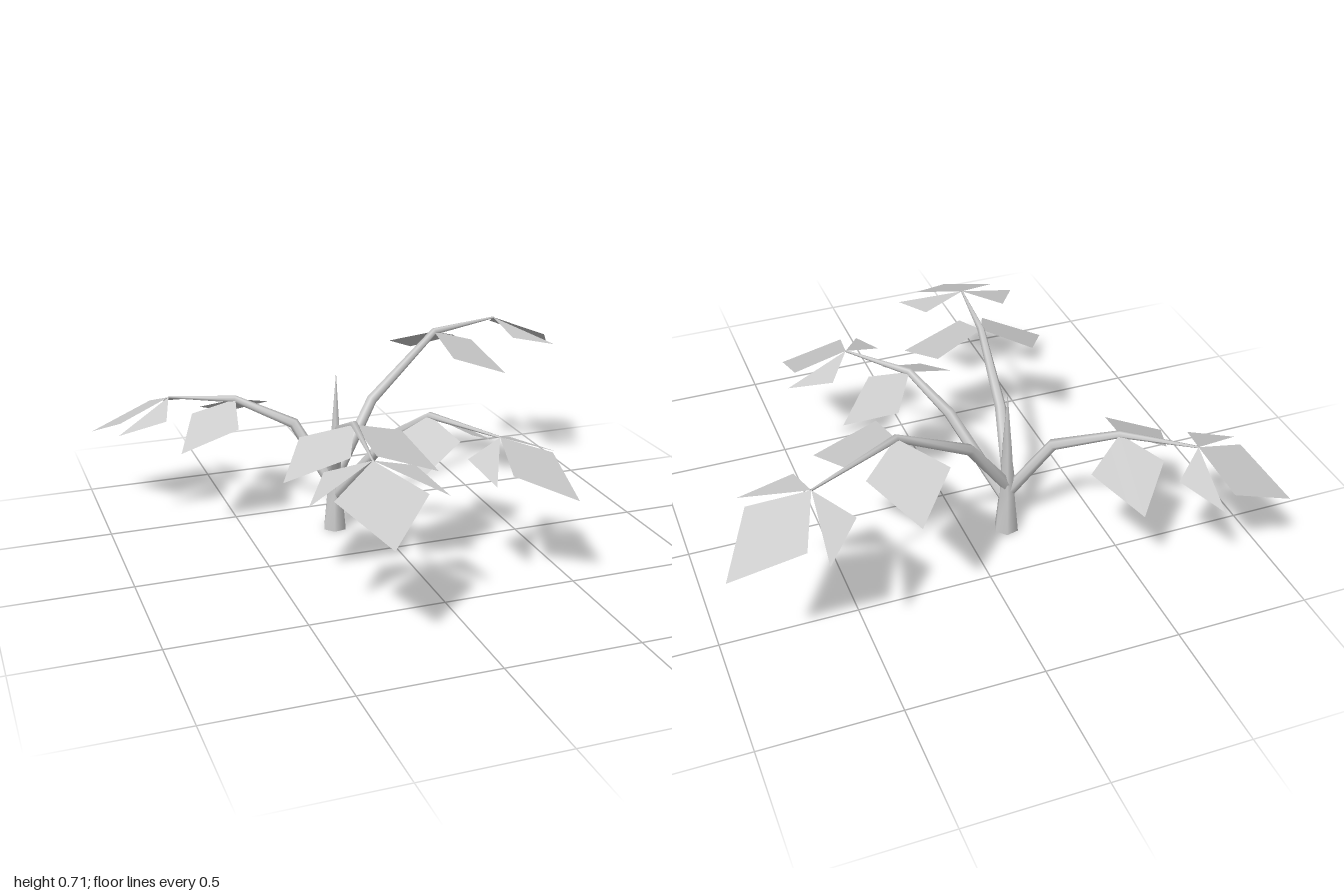
import * as THREE from 'three';

const SIDES = 6;
const material = new THREE.MeshStandardMaterial({ color: 0xcccccc, side: THREE.DoubleSide });

function mesh(positions, index, name) {
  const g = new THREE.BufferGeometry();
  g.setAttribute('position', new THREE.Float32BufferAttribute(positions, 3));
  g.setIndex(index);
  g.computeVertexNormals();
  const m = new THREE.Mesh(g, material);
  m.name = name;
  return m;
}

// Tapered open stem through points [x, y, z, radius], with a ring of sides at each point
function stem(points, name) {
  const pts = points.map(p => new THREE.Vector3(p[0], p[1], p[2]));
  const pos = [], idx = [];
  const last = pts.length - 1;
  // one fixed side axis keeps the rings from twisting
  const flat = pts[last].clone().sub(pts[0]).setY(0).normalize();
  const side = new THREE.Vector3(flat.z, 0, -flat.x);
  pts.forEach((p, i) => {
    const t = pts[Math.min(i + 1, last)].clone().sub(p).normalize();
    if (i > 0) t.add(p.clone().sub(pts[i - 1]).normalize());
    t.normalize();
    const a = side.clone().addScaledVector(t, -side.dot(t)).normalize();
    const b = t.clone().cross(a);
    for (let j = 0; j < SIDES; j++) {
      const w = j / SIDES * Math.PI * 2;
      const q = p.clone().addScaledVector(a, Math.cos(w) * points[i][3]).addScaledVector(b, Math.sin(w) * points[i][3]);
      pos.push(q.x, q.y, q.z);
    }
  });
  for (let i = 0; i < last; i++) {
    for (let j = 0; j < SIDES; j++) {
      const k = (j + 1) % SIDES, p = i * SIDES, q = p + SIDES;
      idx.push(p + j, p + k, q + k, p + j, q + k, q + j);
    }
  }
  return mesh(pos, idx, name);
}

// Flat leaf outlines as [along the branch, sideways, drop], starting from the node
const END_LEAF = [[0, 0, 0], [0.15, -0.155, 0.072], [0.352, 0, 0.17], [0.15, 0.155, 0.072]];
const SIDE_LEAF = [[0, 0, 0], [0.172, 0.045, 0.058], [0.135, 0.27, 0.145], [-0.075, 0.182, 0.06]];
const SMALL_LEAF = [[0, 0, 0], [0.125, 0.232, 0.095], [-0.05, 0.155, 0.048]];

function leaf(outline, node, dir, mirror, size, name) {
  const pos = outline.flatMap(([along, across, drop]) => {
    const u = along * size, v = across * mirror * size;
    return [node[0] + dir.x * u - dir.y * v, node[1] - drop, node[2] + dir.y * u + dir.x * v];
  });
  // corners run the other way round on the mirrored side; keep every top face upward
  const up = mirror < 0 ? [0, 1, 2, 0, 2, 3] : [0, 2, 1, 0, 3, 2];
  return mesh(pos, up.slice(0, (outline.length - 2) * 3), name);
}

// Each branch: start height on the trunk, elbow, leaf node, tip, leaf size
const BRANCHES = [
  { name: 'backLeftBranch', start: 0.2, elbow: [0.03, 0.48, -0.355], node: [0.34, 0.695, -0.478], tip: [0.67, 0.685, -0.632], size: 1 },
  { name: 'backRightBranch', start: 0.17, elbow: [-0.29, 0.42, -0.355], node: [-0.488, 0.502, -0.48], tip: [-0.72, 0.49, -0.63], size: 0.96 },
  { name: 'frontRightBranch', start: 0.24, elbow: [-0.182, 0.455, -0.12], node: [-0.23, 0.59, 0.203], tip: [-0.273, 0.574, 0.52], size: 1.01 },
  { name: 'frontLeftBranch', start: 0.13, elbow: [-0.005, 0.43, -0.055], node: [0.1, 0.547, 0.085], tip: [0.27, 0.525, 0.335], size: 0.92 },
];

export function createModel() {
  const root = new THREE.Group();
  root.name = 'plant';
  const base = [-0.16, -0.262];

  // Trunk running up into a thin spike, open underneath
  root.add(stem([
    [base[0], 0, base[1], 0.048],
    [base[0] + 0.003, 0.17, base[1] - 0.002, 0.031],
    [base[0] + 0.012, 0.4, base[1] - 0.01, 0.018],
    [base[0] + 0.02, 0.62, base[1] - 0.018, 0.001],
  ], 'trunk'));

  for (const b of BRANCHES) {
    const group = new THREE.Group();
    group.name = b.name;
    group.add(stem([
      [base[0], b.start, base[1], 0.024],
      [...b.elbow, 0.021],
      [...b.node, 0.014],
      [...b.tip, 0.004],
    ], 'branchStem'));
    const dir = new THREE.Vector2(b.tip[0] - base[0], b.tip[2] - base[1]).normalize();
    group.add(leaf(END_LEAF, b.tip, dir, 1, b.size, 'endLeaf'));
    for (const s of [-1, 1]) {
      group.add(leaf(SIDE_LEAF, b.node, dir, s, b.size, 'sideLeaf'));
      // the small leaf's corners run the same way round as the side leaf's
      group.add(leaf(SMALL_LEAF, b.tip, dir, s, b.size, 'smallLeaf'));
    }
    root.add(group);
  }
  return root;
}
